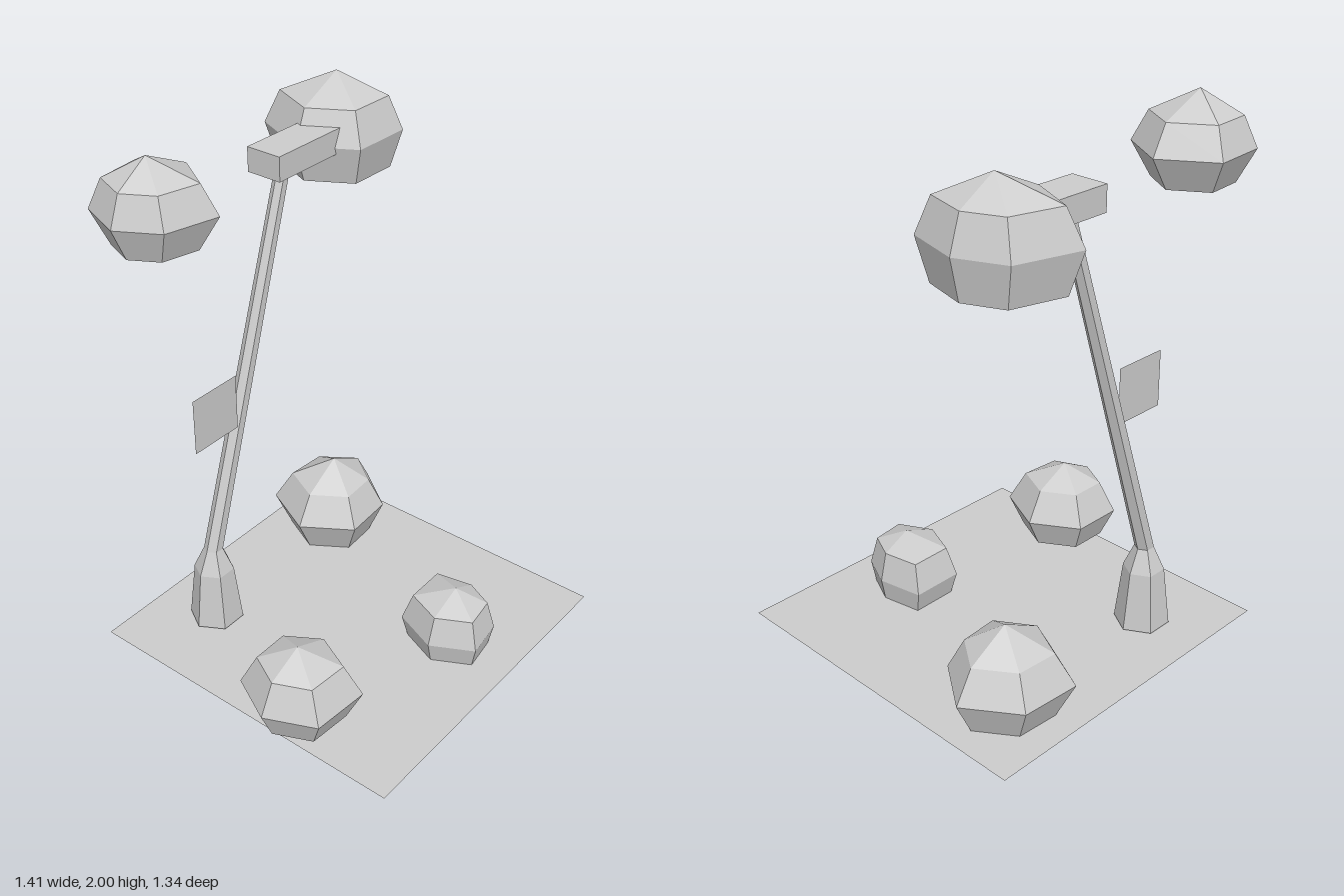
import * as THREE from 'three';

const SIDES = 6;

// Skin horizontal six-sided rings, listed from bottom to top, with flat facets.
function loft(rings, material, name) {
  const pos = [];
  const tri = (a, b, c) => pos.push(...a, ...b, ...c);
  for (let k = 0; k < rings.length - 1; k++) {
    const lo = rings[k], hi = rings[k + 1];
    for (let i = 0; i < SIDES; i++) {
      const j = (i + 1) % SIDES;
      if (hi.length === 1) tri(lo[i], hi[0], lo[j]);
      else {
        tri(lo[i], hi[i], hi[j]);
        tri(lo[i], hi[j], lo[j]);
      }
    }
  }
  const geo = new THREE.BufferGeometry();
  geo.setAttribute('position', new THREE.Float32BufferAttribute(pos, 3));
  geo.computeVertexNormals();
  const mesh = new THREE.Mesh(geo, material);
  mesh.name = name;
  return mesh;
}

// Regular ring of radius r around (x, y, z)
function ring(x, y, z, r) {
  return Array.from({ length: SIDES }, (_, i) => {
    const t = (i * Math.PI * 2) / SIDES;
    return [x - r * Math.cos(t), y, z - r * Math.sin(t)];
  });
}

// Faceted clump, open below: apex, uneven equator and two scaled rings.
function clump({ name, apex, equator, y, upper, lower }, material) {
  const [ax, , az] = apex;
  const level = ([f, h]) =>
    equator.map(([x, z]) => [ax + (x - ax) * f, h, az + (z - az) * f]);
  return loft([level(lower), level([1, y]), level(upper), [apex]], material, name);
}

// Equators run left, back left, back right, right, front right, front left.
// upper and lower hold [scale, height].
const CLUMPS = [
  {
    name: 'leftFrontBush', apex: [-0.515, 0.365, 0.215], y: 0.175,
    upper: [0.7, 0.295], lower: [0.74, 0.06],
    equator: [[-0.706, 0.21], [-0.616, 0.034], [-0.416, 0.034], [-0.307, 0.21], [-0.4, 0.412], [-0.623, 0.395]],
  },
  {
    name: 'smallFrontBush', apex: [0.17, 0.27, 0.403], y: 0.105,
    upper: [0.8, 0.215], lower: [0.85, 0],
    equator: [[0.003, 0.403], [0.07, 0.233], [0.27, 0.23], [0.303, 0.403], [0.242, 0.535], [0.085, 0.558]],
  },
  {
    name: 'rightBackBush', apex: [0.43, 0.365, -0.385], y: 0.155,
    upper: [0.7, 0.275], lower: [0.7, 0.01],
    equator: [[0.2, -0.38], [0.303, -0.595], [0.53, -0.58], [0.662, -0.39], [0.53, -0.207], [0.322, -0.192]],
  },
  {
    name: 'floatingCrown', apex: [-0.484, 2, -0.377], y: 1.81,
    upper: [0.75, 1.918], lower: [0.68, 1.69],
    equator: [[-0.65, -0.377], [-0.585, -0.546], [-0.375, -0.565], [-0.254, -0.377], [-0.371, -0.185], [-0.567, -0.233]],
  },
  {
    name: 'armCrown', apex: [0.525, 1.965, -0.444], y: 1.755,
    upper: [0.78, 1.88], lower: [0.82, 1.61],
    equator: [[0.29, -0.44], [0.394, -0.674], [0.627, -0.61], [0.7, -0.444], [0.646, -0.237], [0.405, -0.241]],
  },
];

export function createModel() {
  const group = new THREE.Group();
  group.name = 'leaningTree';
  const grey = new THREE.MeshStandardMaterial({ color: 0xcccccc, side: THREE.DoubleSide, flatShading: true });
  grey.name = 'grey';

  const add = (name, geo, x, y, z) => {
    const mesh = new THREE.Mesh(geo, grey);
    mesh.name = name;
    mesh.position.set(x, y, z);
    group.add(mesh);
  };

  // Ground sheet and upright card
  add('ground', new THREE.PlaneGeometry(1.305, 1.31).rotateX(-Math.PI / 2), 0.037, 0.02, 0.015);
  add('card', new THREE.PlaneGeometry(0.217, 0.217), -0.288, 0.972, -0.335);

  // Flared trunk foot running into the slanted trunk
  group.add(loft([
    ring(-0.287, 0.03, -0.39, 0.103),
    ring(-0.287, 0.26, -0.39, 0.076),
    ring(-0.285, 0.35, -0.39, 0.036),
    ring(0.165, 1.74, -0.392, 0.027),
  ], grey, 'trunk'));

  // Branch reaching into the crown
  add('branch', new THREE.BoxGeometry(0.4, 0.092, 0.143), 0.265, 1.777, -0.391);

  for (const c of CLUMPS) group.add(clump(c, grey));
  return group;
}
